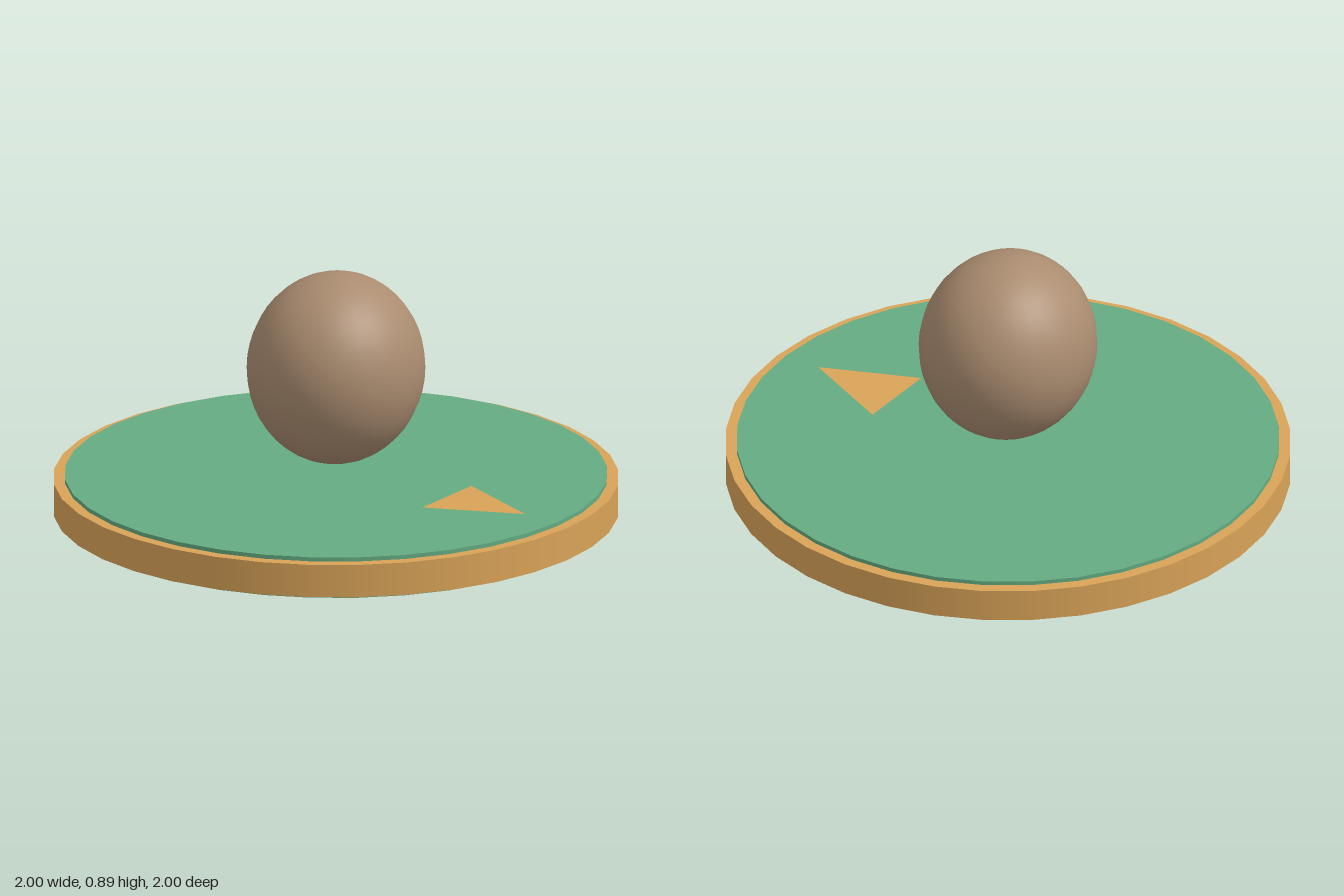
import * as THREE from 'three';

const material = (name, color) => {
  const m = new THREE.MeshStandardMaterial({ color });
  m.name = name;
  return m;
};

export function createModel() {
  const model = new THREE.Group();
  model.name = 'discWithBall';

  const green = material('green', 0x64ab81);
  const gold = material('gold', 0xd9a358);
  const brown = material('brown', 0xaa8c70);

  const add = (name, geometry, mat, y) => {
    const mesh = new THREE.Mesh(geometry, mat);
    mesh.name = name;
    mesh.position.y = y;
    model.add(mesh);
    return mesh;
  };

  // Green disc, slightly proud of the rim above and below
  add('disc', new THREE.CylinderGeometry(0.96, 0.96, 0.15, 36), green, 0.075);

  // Gold rim around the disc
  add('rim', new THREE.CylinderGeometry(1, 1, 0.12, 36), gold, 0.075);

  // Flat arrow pointing to the front
  const arrow = new THREE.Shape([
    new THREE.Vector2(-0.15, -0.48),
    new THREE.Vector2(0, -0.82),
    new THREE.Vector2(0.15, -0.48),
  ]);
  add('frontArrow', new THREE.ShapeGeometry(arrow).rotateX(-Math.PI / 2), gold, 0.153);

  // Floating ball, a little taller than wide
  const ball = new THREE.SphereGeometry(1, 32, 24).scale(0.328, 0.345, 0.31);
  add('ball', ball, brown, 0.543);

  return model;
}
